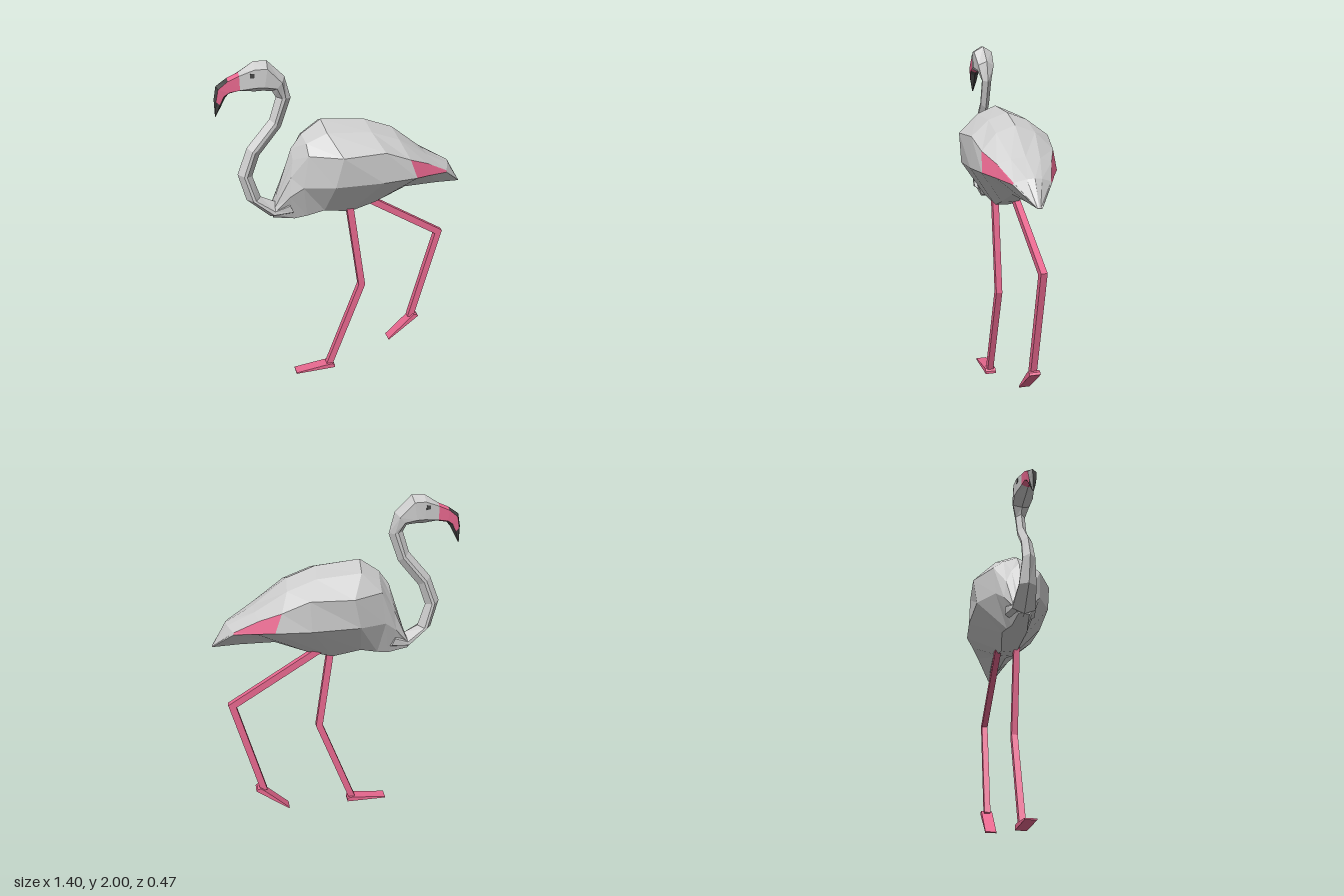
import * as THREE from 'three';

const material = (color) => new THREE.MeshStandardMaterial({ color, flatShading: true, side: THREE.DoubleSide });
const GREY = material(0xcccccc);
const PINK = material(0xe8688f);
const DARK = material(0x444444);

// Skin closed rings of points; pick(i, j) names the part and material of each facet.
function loft(rings, pick) {
  const parts = new Map();
  const add = ([name, mat], ...points) => {
    if (!parts.has(name)) parts.set(name, { mat, data: [] });
    points.forEach((p) => parts.get(name).data.push(...p));
  };
  const n = rings[0].length;
  const last = rings.length - 1;
  for (let i = 0; i < last; i++) {
    for (let j = 0; j < n; j++) {
      const k = (j + 1) % n;
      const [a, b, c, d] = [rings[i][j], rings[i][k], rings[i + 1][k], rings[i + 1][j]];
      add(pick(i, j), a, b, c, a, c, d);
    }
  }
  // End caps
  for (let j = 1; j < n - 1; j++) {
    add(pick(0, j), rings[0][0], rings[0][j + 1], rings[0][j]);
    add(pick(last - 1, j), rings[last][0], rings[last][j], rings[last][j + 1]);
  }
  const group = new THREE.Group();
  for (const [name, { mat, data }] of parts) {
    const geometry = new THREE.BufferGeometry();
    geometry.setAttribute('position', new THREE.Float32BufferAttribute(data, 3));
    geometry.computeVertexNormals();
    const mesh = new THREE.Mesh(geometry, mat);
    mesh.name = name;
    group.add(mesh);
  }
  return group;
}

// Body contour lines from breast to tail, on the +z side
const spine = [[-0.41, 1.19, 0], [-0.31, 1.5, 0], [-0.25, 1.58, 0], [-0.14, 1.655, 0], [0.11, 1.63, 0],
  [0.27, 1.57, 0], [0.46, 1.42, 0], [0.62, 1.33, 0], [0.7, 1.19, 0]];
const shoulder = [[-0.415, 1.18, 0.02], [-0.31, 1.45, 0.045], [-0.24, 1.55, 0.08], [-0.13, 1.61, 0.11], [0.12, 1.59, 0.11],
  [0.28, 1.53, 0.11], [0.46, 1.41, 0.08], [0.61, 1.325, 0.04], [0.7, 1.19, 0.005]];
const wing = [[-0.42, 1.17, 0.04], [-0.33, 1.36, 0.08], [-0.24, 1.5, 0.14], [-0.07, 1.505, 0.235], [0.17, 1.505, 0.22],
  [0.32, 1.44, 0.2], [0.44, 1.385, 0.15], [0.58, 1.305, 0.1], [0.7, 1.19, 0.012]];
const flank = [[-0.43, 1.14, 0.055], [-0.34, 1.25, 0.095], [-0.27, 1.31, 0.13], [-0.11, 1.33, 0.215], [0.16, 1.33, 0.225],
  [0.36, 1.33, 0.21], [0.46, 1.315, 0.16], [0.58, 1.295, 0.105], [0.7, 1.19, 0.015]];
const belly = [[-0.43, 1.105, 0.03], [-0.31, 1.09, 0.045], [-0.24, 1.105, 0.06], [-0.14, 1.13, 0.07], [0.02, 1.09, 0.045],
  [0.17, 1.135, 0.05], [0.35, 1.205, 0.04], [0.55, 1.2, 0.025], [0.7, 1.188, 0.01]];

function makeBody() {
  const half = [shoulder, wing, flank, belly];
  const rings = spine.map((top, i) => {
    const side = half.map((line) => line[i]);
    const mirrored = side.map(([x, y, z]) => [x, y, -z]).reverse();
    return [top, ...side, ...mirrored];
  });
  // The rear facets between wing and flank lines are coloured
  const body = loft(rings, (i, j) => ((i === 5 || i === 6) && (j === 2 || j === 6) ? ['wingPatches', PINK] : ['plumage', GREY]));
  body.name = 'body';
  return body;
}

// Neck, head and beak: throat x, y; nape x, y; half width; inset of the side edges
const neckRings = [
  [-0.3, 1.1, -0.36, 1.24, 0.085, 0.35],
  [-0.44, 1.1, -0.41, 1.19, 0.065, 0.38],
  [-0.57, 1.22, -0.49, 1.23, 0.048, 0.4],
  [-0.61, 1.38, -0.53, 1.36, 0.035, 0.4],
  [-0.55, 1.53, -0.485, 1.48, 0.03, 0.4],
  [-0.42, 1.68, -0.36, 1.63, 0.026, 0.4],
  [-0.38, 1.8, -0.3, 1.79, 0.027, 0.38],
  [-0.4, 1.835, -0.33, 1.91, 0.048, 0.3],
  [-0.45, 1.84, -0.42, 2, 0.056, 0.2],
  [-0.49, 1.84, -0.49, 2, 0.05, 0.2],
  [-0.57, 1.85, -0.57, 1.95, 0.036, 0.12],
  [-0.625, 1.84, -0.63, 1.925, 0.03, 0.15],
  [-0.645, 1.82, -0.69, 1.885, 0.025, 0.2],
  [-0.667, 1.78, -0.705, 1.815, 0.02, 0.25],
  [-0.702, 1.72, -0.705, 1.722, 0.003, 0.3],
];

function makeNeckAndHead() {
  const rings = neckRings.map(([ax, ay, bx, by, w, t]) => {
    const at = (s, z) => [ax + (bx - ax) * s, ay + (by - ay) * s, z];
    return [at(0, 0), at(t, w), at(1 - t, w), at(1, 0), at(1 - t, -w), at(t, -w)];
  });
  const group = loft(rings, (i, j) => {
    if (i < 10) return ['neckAndHead', GREY];
    const cheek = j === 1 || j === 4;
    return i === 10 || (cheek && i < 13) ? ['beak', PINK] : ['beakTip', DARK];
  });
  // Both eyes show as the ends of one bar
  const eyes = new THREE.Mesh(new THREE.BoxGeometry(0.022, 0.022, 0.102), DARK);
  eyes.name = 'eyes';
  eyes.position.set(-0.505, 1.937, 0);
  group.add(eyes);
  group.name = 'neckHeadAndBeak';
  return group;
}

// Square leg with a mitred knee, plus a wedge foot hinged at its heel
function makeLeg(name, z, path, heel, footAngle) {
  const points = path.map(([x, y]) => new THREE.Vector2(x, y));
  const normals = points.slice(1).map((p, i) => {
    const d = p.clone().sub(points[i]).normalize();
    return new THREE.Vector2(d.y, -d.x);
  });
  const rings = points.map((p, i) => {
    const a = normals[Math.max(i - 1, 0)];
    const b = normals[Math.min(i, normals.length - 1)];
    const m = a.clone().add(b).normalize();
    m.multiplyScalar(0.02 / m.dot(a));
    return [[-1, 1], [1, 1], [1, -1], [-1, -1]].map(([s, t]) => [p.x + m.x * s, p.y + m.y * s, z + 0.018 * t]);
  });
  const group = loft(rings, () => [name + 'Shaft', PINK]);
  group.name = name;

  const profile = [[0, 0], [0, 0.015], [-0.015, 0.03], [-0.06, 0.028], [-0.25, 0.008], [-0.25, 0]];
  const shape = new THREE.Shape(profile.map(([x, y]) => new THREE.Vector2(x, y)));
  const geometry = new THREE.ExtrudeGeometry(shape, { depth: 0.064, bevelEnabled: false });
  geometry.translate(0, 0, -0.032);
  const foot = new THREE.Mesh(geometry, PINK);
  foot.name = name + 'Foot';
  foot.position.set(heel[0], heel[1], z);
  foot.rotation.z = footAngle;
  group.add(foot);
  return group;
}

export function createModel() {
  const model = new THREE.Group();
  model.name = 'wadingBird';
  model.add(
    makeBody(),
    makeNeckAndHead(),
    makeLeg('standingLeg', 0.045, [[0.01, 1.15], [0.09, 0.585], [-0.122, 0.015]], [-0.088, 0], 0),
    makeLeg('raisedLeg', -0.05, [[0.1, 1.145], [0.613, 0.825], [0.453, 0.215]], [0.503, 0.222], 0.66),
  );
  return model;
}
